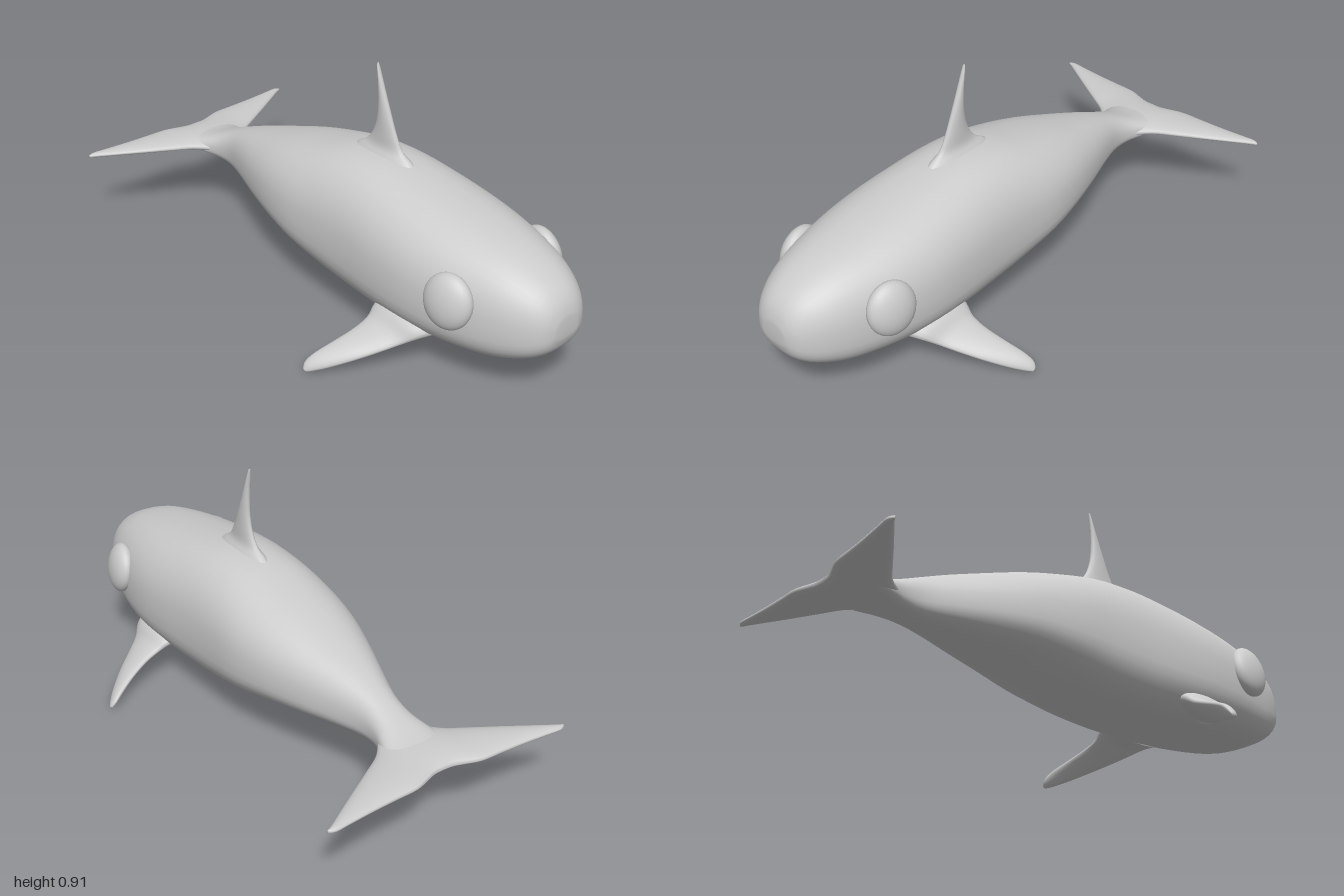
import * as THREE from 'three';

const material = new THREE.MeshStandardMaterial({ color: 0xcccccc });
const V = (p) => new THREE.Vector3(...p);

// Smoothly resample rows of numbers (Catmull-Rom per column)
function smooth(rows, steps) {
  const out = [];
  const last = rows.length - 1;
  for (let i = 0; i < last; i++) {
    const p0 = rows[Math.max(i - 1, 0)], p1 = rows[i], p2 = rows[i + 1], p3 = rows[Math.min(i + 2, last)];
    for (let k = 0; k < steps; k++) {
      const t = k / steps;
      out.push(p1.map((b, c) => {
        const a = p0[c], d = p2[c], e = p3[c];
        return b + 0.5 * t * (d - a + t * (2 * a - 5 * b + 4 * d - e + t * (3 * (b - d) + e - a)));
      }));
    }
  }
  out.push(rows[last]);
  return out;
}

// Skin closed rings of points and close both ends with a centre point
function loft(name, rings) {
  const n = rings[0].length, pos = [], index = [];
  rings.forEach((ring) => ring.forEach((p) => pos.push(p.x, p.y, p.z)));
  for (let i = 0; i < rings.length - 1; i++) {
    for (let j = 0; j < n; j++) {
      const a = i * n + j, b = i * n + (j + 1) % n;
      index.push(a, a + n, b, b, a + n, b + n);
    }
  }
  [0, rings.length - 1].forEach((r, end) => {
    const centre = rings[r].reduce((s, p) => s.add(p), new THREE.Vector3()).divideScalar(n);
    const c = pos.length / 3;
    pos.push(centre.x, centre.y, centre.z);
    for (let j = 0; j < n; j++) {
      const a = r * n + j, b = r * n + (j + 1) % n;
      if (end) index.push(c, b, a); else index.push(c, a, b);
    }
  });
  const geometry = new THREE.BufferGeometry();
  geometry.setAttribute('position', new THREE.Float32BufferAttribute(pos, 3));
  geometry.setIndex(index);
  geometry.computeVertexNormals();
  const mesh = new THREE.Mesh(geometry, material);
  mesh.name = name;
  return mesh;
}

// Fin from rows: leading edge xyz, trailing edge xyz, half thickness
function fin(name, rows, span) {
  const rings = smooth(rows, 4).map((r) => {
    const lead = V(r.slice(0, 3)), trail = V(r.slice(3, 6));
    const centre = lead.clone().add(trail).multiplyScalar(0.5);
    const chord = lead.clone().sub(centre);
    const normal = chord.clone().cross(span).normalize().multiplyScalar(r[6]);
    return Array.from({ length: 20 }, (_, j) => {
      const f = j / 20 * Math.PI * 2;
      return centre.clone().addScaledVector(chord, Math.cos(f)).addScaledVector(normal, Math.sin(f));
    });
  });
  return loft(name, rings);
}

function makeBody() {
  // z, half width, bottom, top
  const stations = [
    [1.0, 0.05, 0.265, 0.335], [0.985, 0.09, 0.222, 0.382], [0.95, 0.127, 0.187, 0.425],
    [0.89, 0.165, 0.158, 0.462], [0.8, 0.2, 0.132, 0.498], [0.65, 0.238, 0.117, 0.532],
    [0.5, 0.256, 0.112, 0.558], [0.35, 0.254, 0.11, 0.582], [0.2, 0.245, 0.114, 0.6],
    [0.05, 0.24, 0.132, 0.594], [-0.1, 0.235, 0.165, 0.562], [-0.25, 0.207, 0.2, 0.525],
    [-0.4, 0.158, 0.222, 0.48], [-0.52, 0.112, 0.237, 0.442], [-0.62, 0.08, 0.248, 0.405],
    [-0.7, 0.08, 0.258, 0.372], [-0.78, 0.105, 0.269, 0.342], [-0.86, 0.11, 0.281, 0.325],
    [-0.94, 0.07, 0.294, 0.314],
  ];
  const n = 40;
  const rings = smooth(stations, 3).map(([z, w, bottom, top]) => {
    const mid = bottom + (top - bottom) * 0.42;
    return Array.from({ length: n }, (_, j) => {
      const f = j / n * Math.PI * 2, c = Math.cos(f), s = Math.sin(f);
      // Boxier belly, rounder back
      const e = 2 / (s < 0 ? 2.8 : 2.35);
      return new THREE.Vector3(
        w * Math.sign(c) * Math.abs(c) ** e,
        mid + (s < 0 ? mid - bottom : top - mid) * Math.sign(s) * Math.abs(s) ** e, z);
    });
  });
  return loft('body', rings);
}

export function createModel() {
  const model = new THREE.Group();
  model.name = 'whale';
  model.add(makeBody());

  // Dorsal fin, swept back with a flared root
  const dorsal = [
    [0.34, 0.0, 0.56, 0.06], [0.295, 0.04, 0.597, 0.036], [0.255, 0.085, 0.625, 0.021],
    [0.228, 0.117, 0.67, 0.018], [0.2, 0.135, 0.735, 0.016], [0.167, 0.138, 0.82, 0.012],
    [0.14, 0.131, 0.895, 0.007], [0.133, 0.13, 0.915, 0.003],
  ].map(([front, back, y, t]) => [0, y, front, 0, y, back, t]);
  model.add(fin('dorsalFin', dorsal, V([0, 1, 0])));

  // Tail flukes: x, leading z, trailing z, half thickness
  const half = [
    [0.03, -0.66, -0.951, 0.028], [0.07, -0.705, -0.962, 0.025], [0.13, -0.775, -0.981, 0.021],
    [0.21, -0.826, -0.984, 0.019], [0.3, -0.88, -0.988, 0.016], [0.39, -0.935, -0.995, 0.012],
    [0.45, -0.972, -1.0, 0.009], [0.474, -0.984, -0.99, 0.005],
  ];
  const mirrored = half.map(([x, ...rest]) => [-x, ...rest]).reverse();
  const flukes = [...mirrored, ...half].map(([x, a, b, t]) => [x, 0.303, a, x, 0.303, b, t]);
  model.add(fin('tailFlukes', flukes, V([1, 0, 0])));

  for (const side of [1, -1]) {
    const label = side > 0 ? 'left' : 'right';

    // Pectoral fin, sloping down and back
    const rows = [
      [0.17, 0.165, 0.62, 0.17, 0.185, 0.35, 0.05], [0.225, 0.15, 0.585, 0.225, 0.168, 0.36, 0.034],
      [0.265, 0.12, 0.54, 0.265, 0.143, 0.37, 0.022], [0.32, 0.093, 0.497, 0.32, 0.12, 0.365, 0.018],
      [0.39, 0.062, 0.442, 0.39, 0.09, 0.343, 0.017], [0.45, 0.032, 0.385, 0.45, 0.06, 0.318, 0.015],
      [0.485, 0.014, 0.345, 0.485, 0.034, 0.306, 0.011], [0.5, 0.007, 0.324, 0.5, 0.014, 0.312, 0.005],
    ].map((r) => r.map((v, i) => (i === 0 || i === 3 ? v * side : v)));
    model.add(fin(label + 'PectoralFin', rows, V([0.28 * side, -0.13, -0.08])));

    // Domed eye set into the head
    const eye = new THREE.Mesh(new THREE.SphereGeometry(1, 28, 20), material);
    eye.name = label + 'Eye';
    eye.scale.set(0.046, 0.096, 0.089);
    eye.position.set(0.226 * side, 0.348, 0.7);
    eye.rotation.set(0, -0.2 * side, 0.16 * side);
    model.add(eye);
  }
  return model;
}
